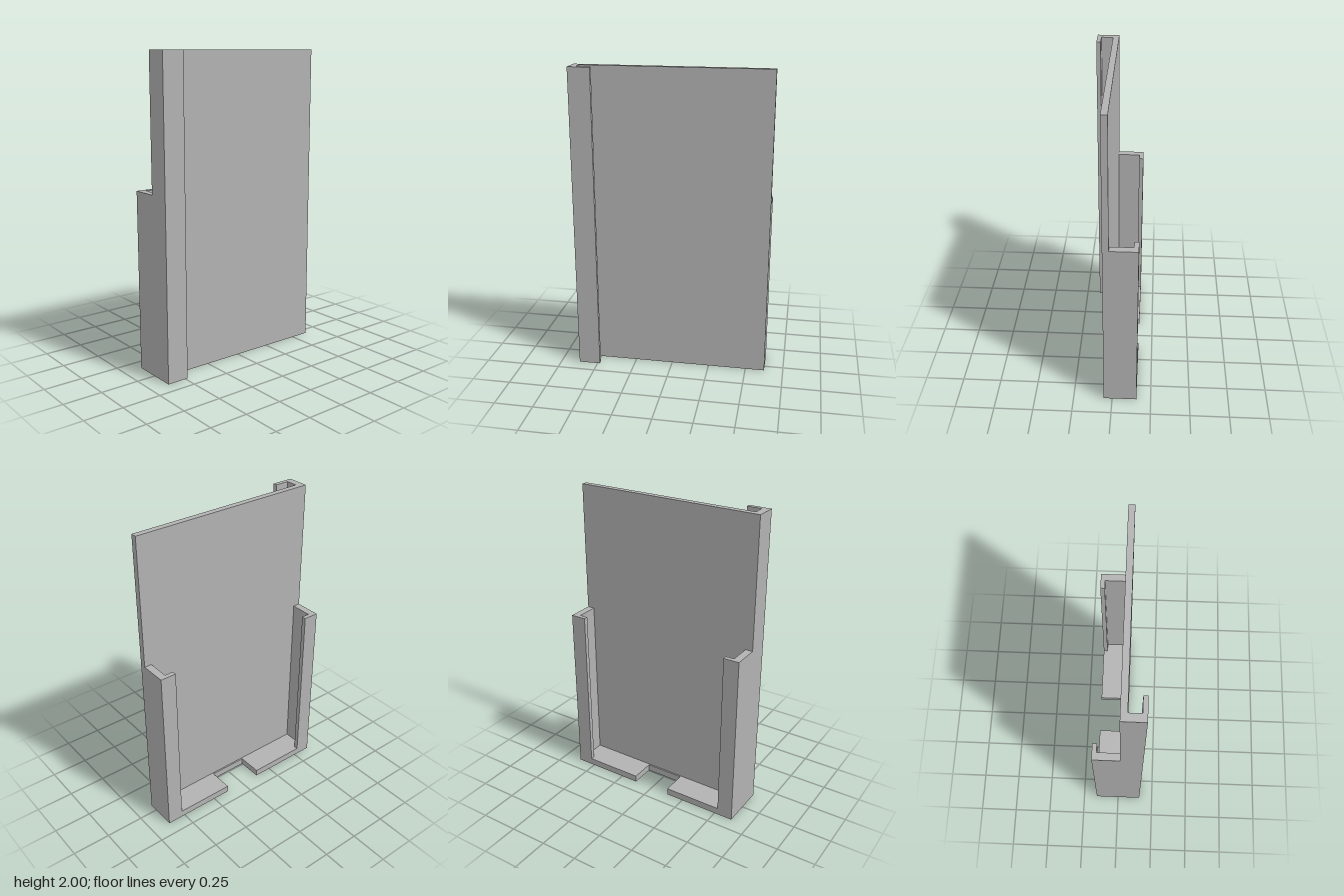
import * as THREE from 'three';

const grey = new THREE.MeshStandardMaterial({ color: 0xb2b2b2 });
grey.name = 'plain grey';

// Extrudes a plan outline, given as [x, z] points, upward from y = 0.
function riser(name, points, height) {
  const shape = new THREE.Shape(points.map(([x, z]) => new THREE.Vector2(x, -z)));
  const geometry = new THREE.ExtrudeGeometry(shape, { depth: height, bevelEnabled: false });
  geometry.rotateX(-Math.PI / 2);
  const mesh = new THREE.Mesh(geometry, grey);
  mesh.name = name;
  return mesh;
}

export function createModel() {
  const group = new THREE.Group();
  group.name = 'slideHolder';

  const X = 0.626, inner = 0.578, lip = 0.522;   // outer side, wall inside, lip edge
  const back = -0.157, lipIn = -0.128;           // rear lip depth
  const plateBack = 0.016, plateFront = 0.055;

  // Full-height panel with the hooked channel down its front right edge
  group.add(riser('panelWithFrontHook', [
    [-X, plateBack], [X, plateBack], [X, plateFront], [-inner, plateFront],
    [-inner, 0.13], [-0.484, 0.13], [-0.484, 0.157], [-X, 0.157],
  ], 2));

  // Lipped side rails on the back
  for (const [s, name] of [[1, 'leftRail'], [-1, 'rightRail']]) {
    group.add(riser(name, [
      [s * X, plateBack], [s * X, back], [s * lip, back],
      [s * lip, lipIn], [s * inner, lipIn], [s * inner, plateBack],
    ], 1.155));
  }

  // Bottom shelf between the rails, with a central notch
  const half = [[0.131, 0.006], [0.131, back], [lip, back], [lip, lipIn], [inner, lipIn], [inner, plateBack]];
  const mirrored = half.map(([x, z]) => [-x, z]).reverse();
  group.add(riser('bottomShelf', [...half, ...mirrored], 0.046));

  return group;
}
